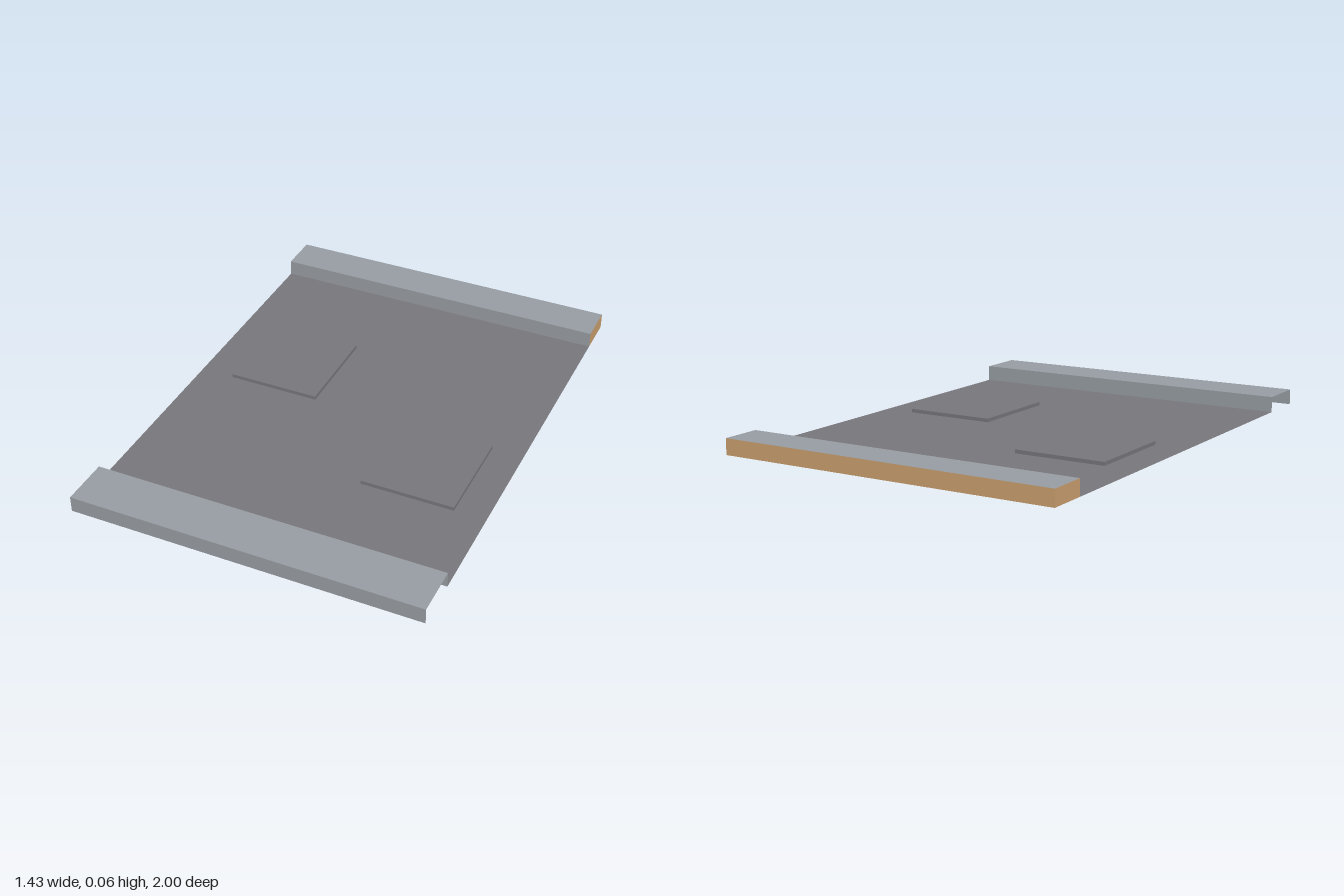
import * as THREE from 'three';

const HALF = 0.713, TOP = 0.065, LIFT = 0.015;

function material(name, color) {
  const m = new THREE.MeshStandardMaterial({ color, side: THREE.DoubleSide });
  m.name = name;
  return m;
}

// flat rectangular sheet facing 'up', 'front' or 'side'
function sheet(name, mat, facing, w, h, x, y, z) {
  const geo = new THREE.PlaneGeometry(w, h);
  if (facing === 'up') geo.rotateX(-Math.PI / 2);
  if (facing === 'side') geo.rotateY(Math.PI / 2);
  const mesh = new THREE.Mesh(geo, mat);
  mesh.name = name;
  mesh.position.set(x, y, z);
  return mesh;
}

export function createModel() {
  const model = new THREE.Group();
  model.name = 'foldedTray';
  const steel = material('lightSteel', 0x969ca2);
  const floor = material('darkGrey', 0x76757a);
  const tan = material('tan', 0xc99e6e);

  // raised pads: [x0, x1, z0, z1]
  const pads = [[-0.573, -0.19, -0.41, -0.003], [0.2, 0.583, 0, 0.41]];

  // base sheet, cut out under the pads (shape y becomes -z)
  const base = new THREE.Shape([
    new THREE.Vector2(-HALF, -0.8), new THREE.Vector2(HALF, -0.8),
    new THREE.Vector2(HALF, 0.835), new THREE.Vector2(-HALF, 0.835),
  ]);
  for (const [x0, x1, z0, z1] of pads) {
    base.holes.push(new THREE.Path([
      new THREE.Vector2(x0, -z0), new THREE.Vector2(x1, -z0),
      new THREE.Vector2(x1, -z1), new THREE.Vector2(x0, -z1),
    ]));
  }
  const baseMesh = new THREE.Mesh(new THREE.ShapeGeometry(base).rotateX(-Math.PI / 2), floor);
  baseMesh.name = 'baseSheet';
  model.add(baseMesh);

  // embossed pads, hollow from below
  for (const [x0, x1, z0, z1] of pads) {
    const pad = new THREE.Group();
    pad.name = 'raisedPad';
    const w = x1 - x0, d = z1 - z0, cx = (x0 + x1) / 2, cz = (z0 + z1) / 2;
    pad.add(sheet('padTop', floor, 'up', w, d, cx, LIFT, cz));
    for (const z of [z0, z1]) pad.add(sheet('padEdge', floor, 'front', w, LIFT, cx, LIFT / 2, z));
    for (const x of [x0, x1]) pad.add(sheet('padSide', floor, 'side', d, LIFT, x, LIFT / 2, cz));
    model.add(pad);
  }

  // folded channels along both ends
  const channels = [['frontChannel', 0.8, 1, steel], ['backChannel', -0.835, -1, tan]];
  for (const [name, inner, outer, outerMat] of channels) {
    const channel = new THREE.Group();
    channel.name = name;
    const mid = (inner + outer) / 2, depth = Math.abs(outer - inner);
    channel.add(
      sheet('innerWall', steel, 'front', 2 * HALF, TOP, 0, TOP / 2, inner),
      sheet('topFlange', steel, 'up', 2 * HALF, depth, 0, TOP, mid),
      sheet('outerWall', outerMat, 'front', 2 * HALF, TOP, 0, TOP / 2, outer),
    );
    // the back channel is closed at its ends
    if (outerMat === tan) {
      for (const s of [-1, 1]) channel.add(sheet('endCap', tan, 'side', depth, TOP, s * HALF, TOP / 2, mid));
    }
    model.add(channel);
  }
  return model;
}
